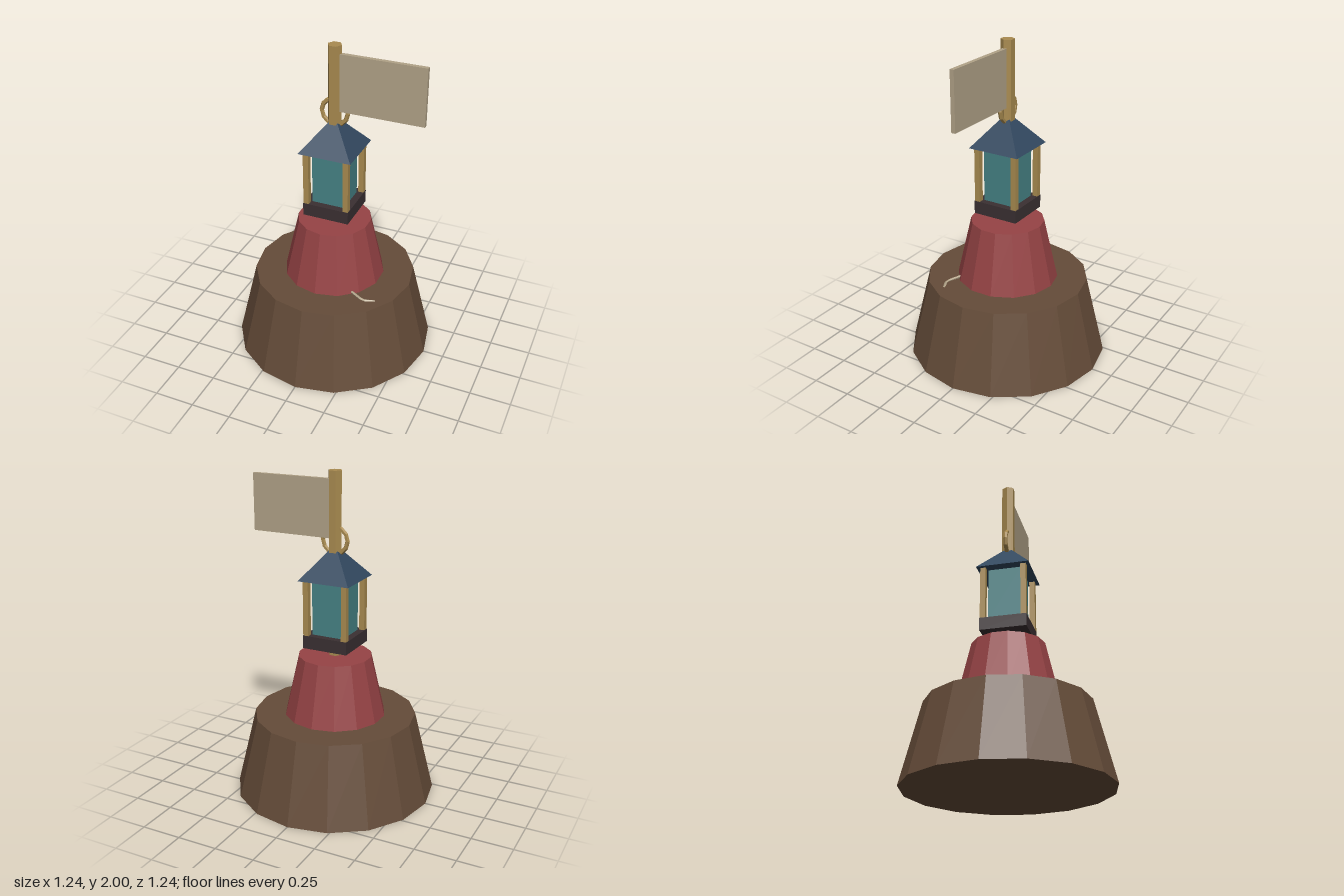
import * as THREE from 'three';

const mat = (name, color) => {
  const m = new THREE.MeshStandardMaterial({ color, flatShading: true });
  m.name = name;
  return m;
};

export function createModel() {
  const group = new THREE.Group();
  group.name = 'lanternBuoy';
  const brown = mat('brown', 0x654c39);
  const red = mat('red', 0x964345);
  const gold = mat('gold', 0xa98b50);
  const iron = mat('dark iron', 0x3a3032);
  const glass = mat('teal glass', 0x468285);
  const blue = mat('slate blue', 0x32485f);
  const cloth = mat('pale cloth', 0xb1a287);

  const add = (name, geometry, material, x = 0, y = 0, z = 0, turn = 0) => {
    const mesh = new THREE.Mesh(geometry, material);
    mesh.name = name;
    mesh.position.set(x, y, z);
    mesh.rotation.y = turn;
    group.add(mesh);
    return mesh;
  };

  // Tapered body and upper cone
  add('base', new THREE.CylinderGeometry(0.5, 0.622, 0.5, 16), brown, 0, 0.25, 0);
  add('upperCone', new THREE.CylinderGeometry(0.226, 0.313, 0.38, 14), red, 0, 0.69, 0);

  // Hexagonal mast with its flag
  add('mast', new THREE.CylinderGeometry(0.042, 0.042, 1.2, 6), gold, 0, 1.4, 0, Math.PI / 6);
  add('flag', new THREE.BoxGeometry(0.515, 0.35, 0.026), cloth, 0.288, 1.775, 0);

  // Lantern: tray, glass, corner posts, roof and ring
  add('lanternTray', new THREE.BoxGeometry(0.29, 0.08, 0.29), iron, 0, 0.98, 0);
  add('lanternGlass', new THREE.BoxGeometry(0.204, 0.34, 0.204), glass, 0, 1.19, 0);
  for (const sx of [-1, 1]) {
    for (const sz of [-1, 1]) {
      add('lanternPost', new THREE.BoxGeometry(0.034, 0.35, 0.034), gold, sx * 0.126, 1.192, sz * 0.126);
    }
  }
  add('lanternRoof', new THREE.ConeGeometry(0.165 * Math.SQRT2, 0.205, 4), blue, 0, 1.4625, 0, Math.PI / 4);
  add('lanternRing', new THREE.TorusGeometry(0.081, 0.014, 6, 12), gold, 0, 1.59, 0);

  // Loose rope end lying on the base
  const rope = new THREE.CurvePath();
  const points = [[0.19, 0.51, 0.21], [0.295, 0.501, 0.262], [0.365, 0.495, 0.235]]
    .map((p) => new THREE.Vector3(...p));
  rope.add(new THREE.LineCurve3(points[0], points[1]));
  rope.add(new THREE.LineCurve3(points[1], points[2]));
  add('ropeEnd', new THREE.TubeGeometry(rope, 6, 0.009, 5), cloth);

  return group;
}
